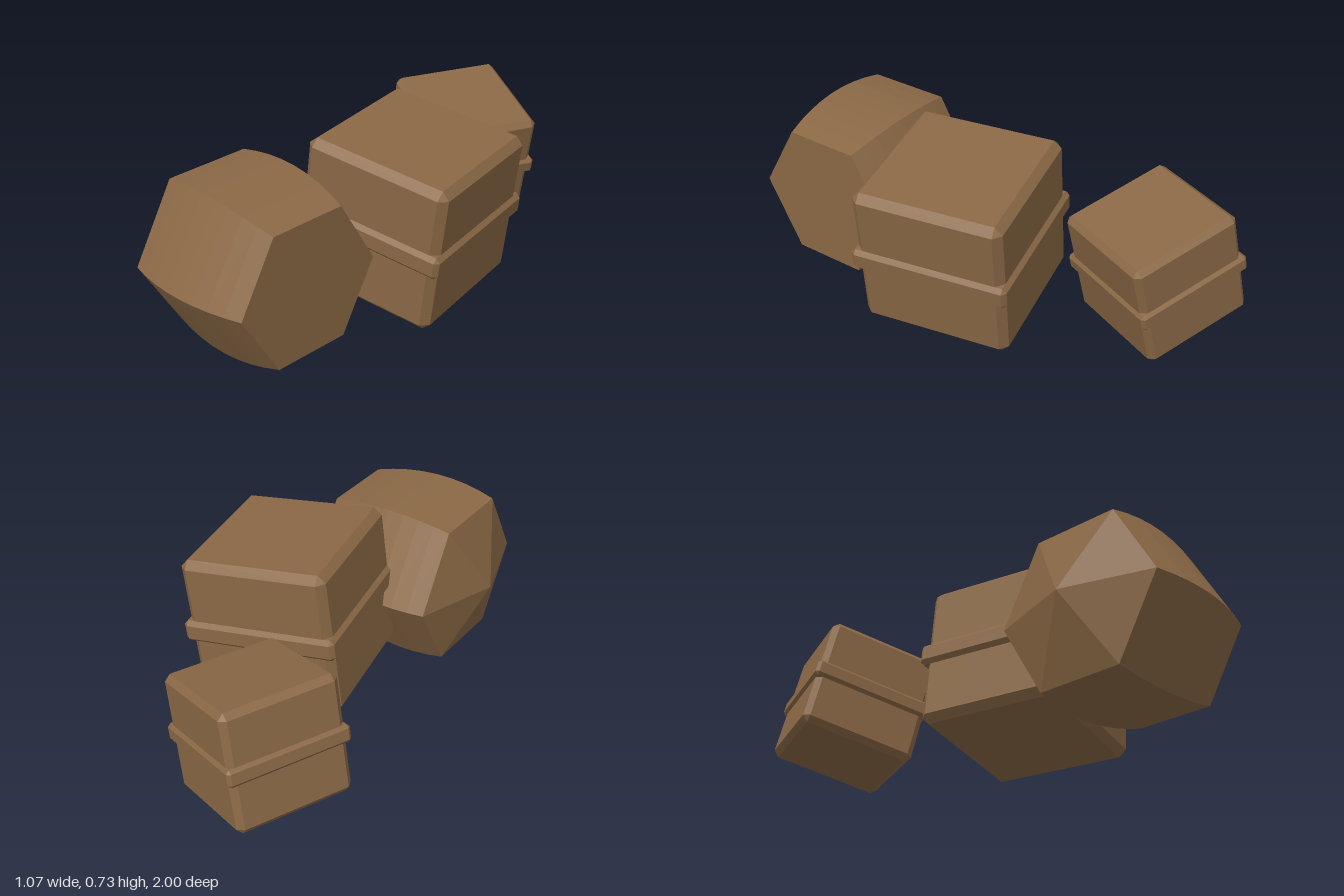
import * as THREE from 'three';
import { ConvexGeometry } from 'three/addons/geometries/ConvexGeometry.js';

const wood = new THREE.MeshStandardMaterial({ color: 0x8a6845, flatShading: true });
wood.name = 'brown wood';

function part(name, geometry) {
  const mesh = new THREE.Mesh(geometry, wood);
  mesh.name = name;
  return mesh;
}

// Box with every edge and corner cut off by c
function chamferedBox(w, h, d, c) {
  const points = [];
  for (const x of [-1, 1]) for (const y of [-1, 1]) for (const z of [-1, 1]) {
    for (let axis = 0; axis < 3; axis++) {
      const inset = [0, 1, 2].map((i) => (i === axis ? 0 : c));
      points.push(new THREE.Vector3(
        x * (w / 2 - inset[0]), y * (h / 2 - inset[1]), z * (d / 2 - inset[2])));
    }
  }
  return new ConvexGeometry(points);
}

// Crate with a raised band round the middle, turned by yaw and then tipped sideways
function crate(name, size, position, yaw, tilt) {
  const group = new THREE.Group();
  group.name = name;
  const band = size * 1.055;
  group.add(
    part('crateBody', chamferedBox(size, size, size, size * 0.05)),
    part('crateBand', chamferedBox(band, size * 0.15, band, size * 0.028)));
  group.position.set(...position);
  group.rotation.set(0, yaw, tilt, 'YXZ');
  return group;
}

// Six-sided barrel lying along x, with a flat lid and a pointed base
function barrel() {
  const profile = [new THREE.Vector2(0, -0.42)];
  const steps = 8;
  for (let i = 0; i <= steps; i++) {
    const x = -0.305 + (0.56 * i) / steps;
    profile.push(new THREE.Vector2(0.38 - 0.54 * (x + 0.08) ** 2, x));
  }
  profile.push(new THREE.Vector2(0, 0.255));
  const geometry = new THREE.LatheGeometry(profile, 6);
  geometry.rotateZ(-Math.PI / 2);
  const mesh = part('barrel', geometry);
  mesh.position.set(0, 0.33, 0.62);
  return mesh;
}

export function createModel() {
  const model = new THREE.Group();
  model.name = 'barrelAndCrates';
  model.add(
    barrel(),
    crate('largeCrate', 0.615, [0.145, 0.39, -0.01], 0.2, -0.126),
    crate('smallCrate', 0.47, [-0.2, 0.32, -0.685], -0.4, -0.237));
  return model;
}
